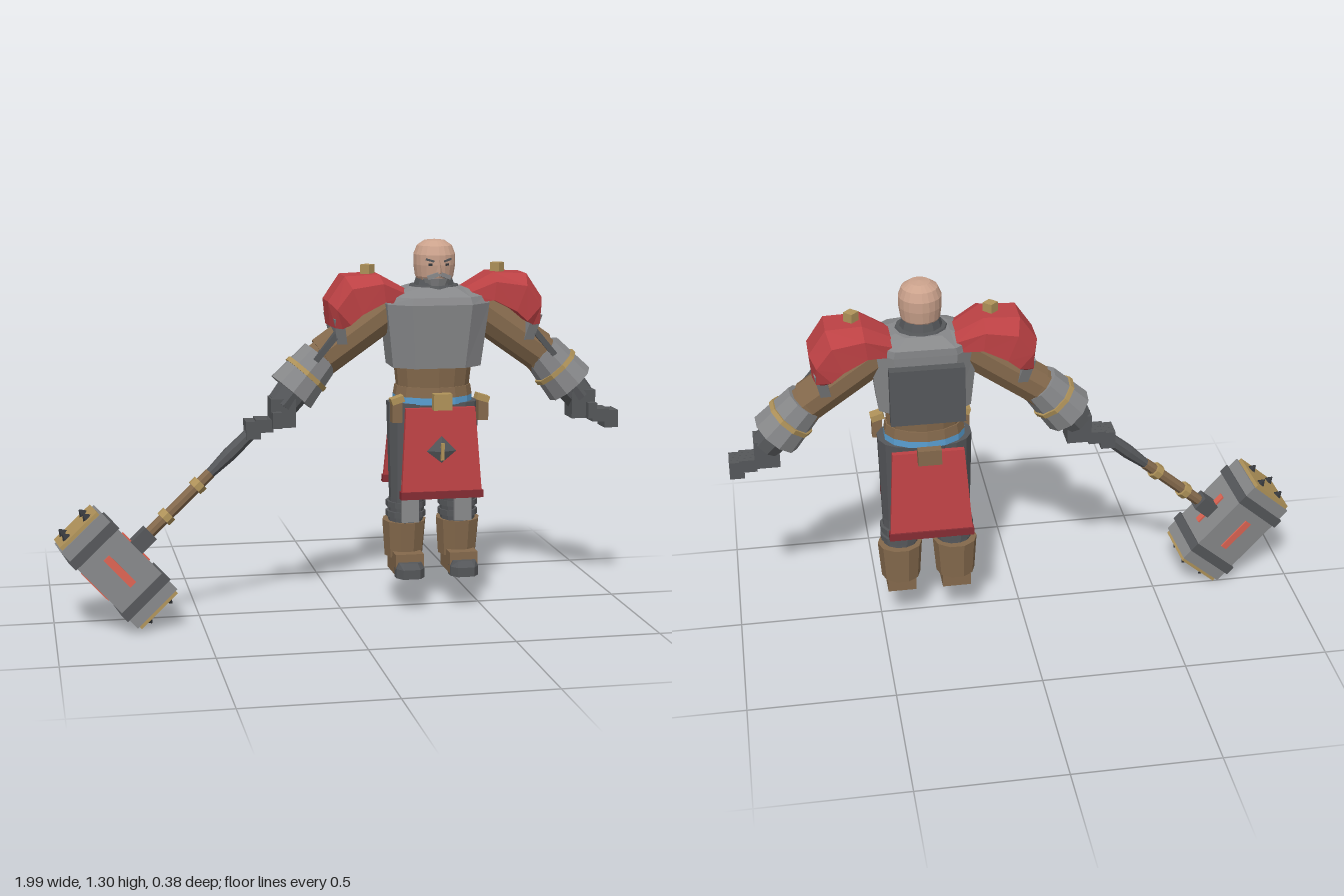
import * as THREE from 'three';

const mat = (name, color) => Object.assign(new THREE.MeshStandardMaterial({ color }), { name });
const V = (a) => new THREE.Vector3(...a);

// Faceted normals
function flat(g) {
  const f = g.index ? g.toNonIndexed() : g;
  f.computeVertexNormals();
  return f;
}
function box(w, h, d, x, y, z, rx = 0, ry = 0, rz = 0) {
  const g = new THREE.BoxGeometry(w, h, d);
  g.applyMatrix4(new THREE.Matrix4().makeRotationFromEuler(new THREE.Euler(rx, ry, rz)));
  return flat(g.translate(x, y, z));
}
// Cylinder from p to q, radius r0 at p and r1 at q
function rod(p, q, r0, r1, n = 8) {
  const a = V(p), b = V(q), dir = b.clone().sub(a);
  const g = new THREE.CylinderGeometry(r1, r0, dir.length(), n);
  g.rotateY(Math.PI / n);
  g.applyQuaternion(new THREE.Quaternion().setFromUnitVectors(V([0, 1, 0]), dir.normalize()));
  return flat(g.translate(...a.add(b).multiplyScalar(0.5).toArray()));
}
// Capped skin over rings that turn counter-clockwise about the direction of travel
function loft(rings) {
  const p = [], tri = (...t) => t.forEach((v) => p.push(...v)), n = rings[0].length;
  for (let i = 0; i < rings.length - 1; i++) for (let j = 0; j < n; j++) {
    const k = (j + 1) % n, r = rings[i], s = rings[i + 1];
    tri(r[j], r[k], s[k]);
    tri(r[j], s[k], s[j]);
  }
  const a = rings[0], b = rings[rings.length - 1];
  for (let j = 1; j < n - 1; j++) { tri(a[0], a[j + 1], a[j]); tri(b[0], b[j], b[j + 1]); }
  const g = new THREE.BufferGeometry();
  g.setAttribute('position', new THREE.Float32BufferAttribute(p, 3));
  return flat(g);
}
// Chamfered rectangle: half width, inner half width, front z, back z, chamfer depth
const octagon = (y, hx, ix, zf, zb, c) => [[-ix, y, zf], [ix, y, zf], [hx, y, zf - c], [hx, y, zb + c],
  [ix, y, zb], [-ix, y, zb], [-hx, y, zb + c], [-hx, y, zf - c]];
// Elliptical band around the body
const band = (y0, y1, r0, r1, depth, z = -0.02, n = 14) =>
  flat(new THREE.CylinderGeometry(r1, r0, y1 - y0, n).scale(1, 1, depth).translate(0, (y0 + y1) / 2, z));
function mirrored(g) {
  const m = g.clone(), p = m.attributes.position.array;
  for (let i = 0; i < p.length; i += 9) for (let k = 0; k < 3; k++) {
    const s = k === 0 ? -1 : 1, t = p[i + 3 + k];
    p[i + k] *= s;
    p[i + 3 + k] = p[i + 6 + k] * s;
    p[i + 6 + k] = t * s;
  }
  m.computeVertexNormals();
  return m;
}

export function createModel() {
  const skin = mat('skin', 0xcba28c), grey = mat('steel', 0x87888a), dark = mat('dark steel', 0x55575a);
  const black = mat('black iron', 0x34363a), brown = mat('leather', 0x84694c), gold = mat('brass', 0xb0935a);
  const red = mat('red', 0xbc4144), hem = mat('dark red', 0x852c33), blue = mat('blue', 0x5a9fd2);
  const glow = mat('bright red', 0xdc6453);

  const root = new THREE.Group();
  root.name = 'hammerWarrior';
  const body = new THREE.Group();
  body.name = 'body';
  body.position.x = 0.33;
  root.add(body);
  const add = (name, g, m, parent = body) => {
    const mesh = new THREE.Mesh(g, m);
    mesh.name = name;
    parent.add(mesh);
  };
  const pair = (name, g, m) => {
    add(name + 'Left', g, m);
    add(name + 'Right', mirrored(g), m);
  };

  // Head and face
  const profile = [[0, 1.14], [0.05, 1.15], [0.066, 1.18], [0.072, 1.22], [0.072, 1.255], [0.06, 1.285], [0.035, 1.302], [0, 1.306]];
  add('head', flat(new THREE.LatheGeometry(profile.map((p) => new THREE.Vector2(...p)), 20).scale(1, 1, 1.06).translate(0, 0, -0.007)), skin);
  add('nose', loft([[[-0.015, 1.19, 0.055], [0, 1.195, 0.09], [0.015, 1.19, 0.055]],
    [[-0.006, 1.24, 0.06], [0, 1.24, 0.071], [0.006, 1.24, 0.06]]]), skin);
  add('beard', band(1.14, 1.175, 0.035, 0.052, 0.75, 0.03, 10), grey);
  pair('moustache', box(0.04, 0.014, 0.02, 0.02, 1.185, 0.066, 0, 0.25, -0.35), grey);
  pair('eye', box(0.014, 0.008, 0.008, 0.028, 1.223, 0.06, 0, 0.4, 0), black);
  pair('brow', box(0.03, 0.007, 0.009, 0.03, 1.238, 0.06, 0, 0.4, 0.25), dark);

  // Torso armour
  add('breastplate', loft([
    octagon(0.87, 0.155, 0.088, 0.1, -0.125, 0.05),
    octagon(1.09, 0.18, 0.105, 0.125, -0.14, 0.06),
    octagon(1.115, 0.172, 0.1, 0.115, -0.14, 0.06),
    octagon(1.145, 0.09, 0.06, 0.06, -0.1, 0.04)]), grey);
  add('backPlate', box(0.25, 0.2, 0.035, 0, 0.96, -0.157), dark);
  add('collar', band(1.11, 1.15, 0.108, 0.085, 0.95, -0.015, 12), dark);
  add('neckRing', band(1.14, 1.18, 0.075, 0.062, 1, -0.012, 12), dark);

  // Waist and belt
  add('waist', band(0.79, 0.9, 0.128, 0.14, 0.76), brown);
  add('belt', band(0.765, 0.8, 0.14, 0.134, 0.76), brown);
  add('sash', band(0.74, 0.768, 0.14, 0.14, 0.74), blue);
  add('hips', band(0.66, 0.745, 0.115, 0.135, 0.7), dark);
  add('buckle', box(0.064, 0.056, 0.035, 0, 0.76, 0.128), gold);
  add('backPouch', box(0.08, 0.055, 0.032, 0, 0.738, -0.174), brown);
  pair('beltPouch', box(0.035, 0.075, 0.035, 0.152, 0.725, 0.09), brown);
  pair('beltClasp', box(0.045, 0.022, 0.042, 0.15, 0.765, 0.09, 0, 0, -0.3), gold);

  // Hanging cloths, front and back
  const cloth = (zTop, zLow) => loft([[0.43, 0.142, zLow], [0.735, 0.122, zTop]].map(([y, w, z]) =>
    [[-w, y, z], [w, y, z], [w, y, z - 0.02], [-w, y, z - 0.02]]));
  add('frontCloth', cloth(0.112, 0.143), red);
  add('frontHem', box(0.29, 0.026, 0.03, 0, 0.437, 0.133), hem);
  add('backCloth', cloth(-0.125, -0.165), red);
  add('backHem', box(0.29, 0.026, 0.03, 0, 0.437, -0.174), hem);
  add('diamond', flat(new THREE.OctahedronGeometry(0.052).scale(1, 1, 0.38).translate(0, 0.588, 0.127)), dark);
  add('diamondStripe', box(0.012, 0.06, 0.009, 0, 0.588, 0.144), gold);

  // Legs and boots
  pair('thigh', rod([0.09, 0.4, -0.006], [0.078, 0.74, -0.018], 0.064, 0.085, 12), dark);
  pair('shin', rod([0.096, 0.28, -0.018], [0.09, 0.42, -0.008], 0.06, 0.064, 12), dark);
  for (const y of [0.345, 0.38]) pair('kneeBand', rod([0.094, y - 0.01, -0.014], [0.094, y + 0.01, -0.014], 0.07, 0.07, 12), dark);
  pair('shinPlate', box(0.06, 0.15, 0.02, 0.094, 0.4, 0.056, -0.04), grey);
  pair('boot', rod([0.097, 0.19, -0.03], [0.097, 0.32, -0.026], 0.068, 0.078, 10), brown);
  pair('foot', box(0.1, 0.075, 0.14, 0.097, 0.175, 0.005), brown);
  pair('toeCap', loft([0.132, 0.165, 0.185].map((y, i) => {
    const w = [0.05, 0.05, 0.04][i], f = [0.112, 0.112, 0.095][i], x = 0.097;
    return [[x - w * 0.6, y, f], [x + w * 0.6, y, f], [x + w, y, 0.085], [x + w, y, 0.05], [x - w, y, 0.05], [x - w, y, 0.085]];
  })), dark);

  // Shoulder armour: stations along the arc as peak x, y, lower x, y, half width
  const arc = [[0.1, 1.135, 0.106, 1.085, 0.085], [0.2, 1.19, 0.19, 1.1, 0.12], [0.32, 1.185, 0.27, 1.06, 0.125],
    [0.378, 1.1, 0.31, 1.025, 0.12], [0.37, 1.015, 0.335, 1.01, 0.1]];
  pair('pauldron', loft(arc.map(([px, py, lx, ly, w]) => {
    const ex = px + (lx - px) * 0.3, ey = py + (ly - py) * 0.3, z = -0.03;
    return [[px, py, z + w * 0.45], [ex, ey, z + w], [lx, ly, z + w], [lx, ly, z - w], [ex, ey, z - w], [px, py, z - w * 0.45]];
  })), red);
  pair('pauldronStud', box(0.036, 0.04, 0.036, 0.23, 1.2, -0.03, 0, Math.PI / 4, 0), gold);
  pair('armPlate', loft([[0.94, 0.345, 0.062], [1.045, 0.366, 0.108]].map(([y, x, w]) =>
    [[x - 0.035, y, w - 0.03], [x, y, w - 0.03], [x, y, -w - 0.03], [x - 0.035, y, -w - 0.03]])), grey);

  // Arms
  pair('upperArm', rod([0.15, 1.07, -0.03], [0.385, 0.905, -0.028], 0.07, 0.07, 10), brown);
  pair('elbowStrap', box(0.02, 0.12, 0.035, 0.385, 0.945, 0.03, 0, 0, 0.7), dark);
  pair('elbow', rod([0.33, 0.95, -0.03], [0.43, 0.86, -0.026], 0.06, 0.07, 10), brown);
  pair('forearm', rod([0.395, 0.905, -0.028], [0.5, 0.785, -0.018], 0.072, 0.09, 10), grey);
  pair('forearmRing', rod([0.441, 0.852, -0.024], [0.452, 0.84, -0.023], 0.087, 0.088, 10), gold);

  // Hands
  pair('wrist', rod([0.485, 0.8, -0.018], [0.535, 0.74, -0.01], 0.06, 0.055, 8), dark);
  pair('palm', box(0.085, 0.1, 0.085, 0.535, 0.72, -0.005), dark);
  for (let i = 0; i < 4; i++) {
    const z = -0.031 + i * 0.0195;
    pair('knuckle', box(0.06, 0.045, 0.0185, 0.6, 0.678, z), dark);
    pair('fingertip', box(0.05, 0.062, 0.0185, 0.639, 0.664, z), dark);
  }
  pair('thumb', box(0.032, 0.055, 0.028, 0.56, 0.7, 0.052), dark);

  // War hammer: its x runs along the head, its y up the handle
  const hammer = new THREE.Group();
  hammer.name = 'warHammer';
  const ax = V([0.67, -0.74, 0]).normalize(), ay = V([0.74, 0.67, -0.11]).normalize();
  hammer.quaternion.setFromRotationMatrix(new THREE.Matrix4().makeBasis(ax, ay, ax.clone().cross(ay)));
  hammer.position.set(-0.79, 0.22, 0.078);
  root.add(hammer);
  const part = (name, g, m) => add(name, g, m, hammer);
  part('hammerHead', box(0.37, 0.186, 0.19, 0, 0, 0), grey);
  for (const s of [-1, 1]) {
    part('headBand', box(0.035, 0.2, 0.206, s * 0.125, 0, 0), dark);
    part('endPlate', box(0.016, 0.17, 0.178, s * 0.19, 0, 0), gold);
    for (const y of [-0.047, 0.047]) for (const z of [-0.047, 0.047])
      part('spike', rod([s * 0.195, y, z], [s * 0.219, y, z], 0.019, 0.002, 6), black);
    part('sideStripe', box(0.13, 0.026, 0.008, 0, 0, s * 0.097), glow);
    part('edgeStripe', box(0.13, 0.008, 0.026, 0, s * 0.095, 0), glow);
  }
  part('handleCollar', box(0.055, 0.075, 0.055, 0, 0.125, 0), dark);
  part('handle', rod([0, 0.15, 0], [0, 0.45, 0], 0.02, 0.02), brown);
  part('grip', rod([0, 0.44, 0], [0, 0.54, 0], 0.017, 0.025), dark);
  part('gripEnd', rod([0, 0.54, 0], [0, 0.7, 0], 0.025, 0.022), dark);
  for (const y of [0.24, 0.39]) part('handleRing', rod([0, y - 0.014, 0], [0, y + 0.014, 0], 0.029, 0.029), gold);

  return root;
}
